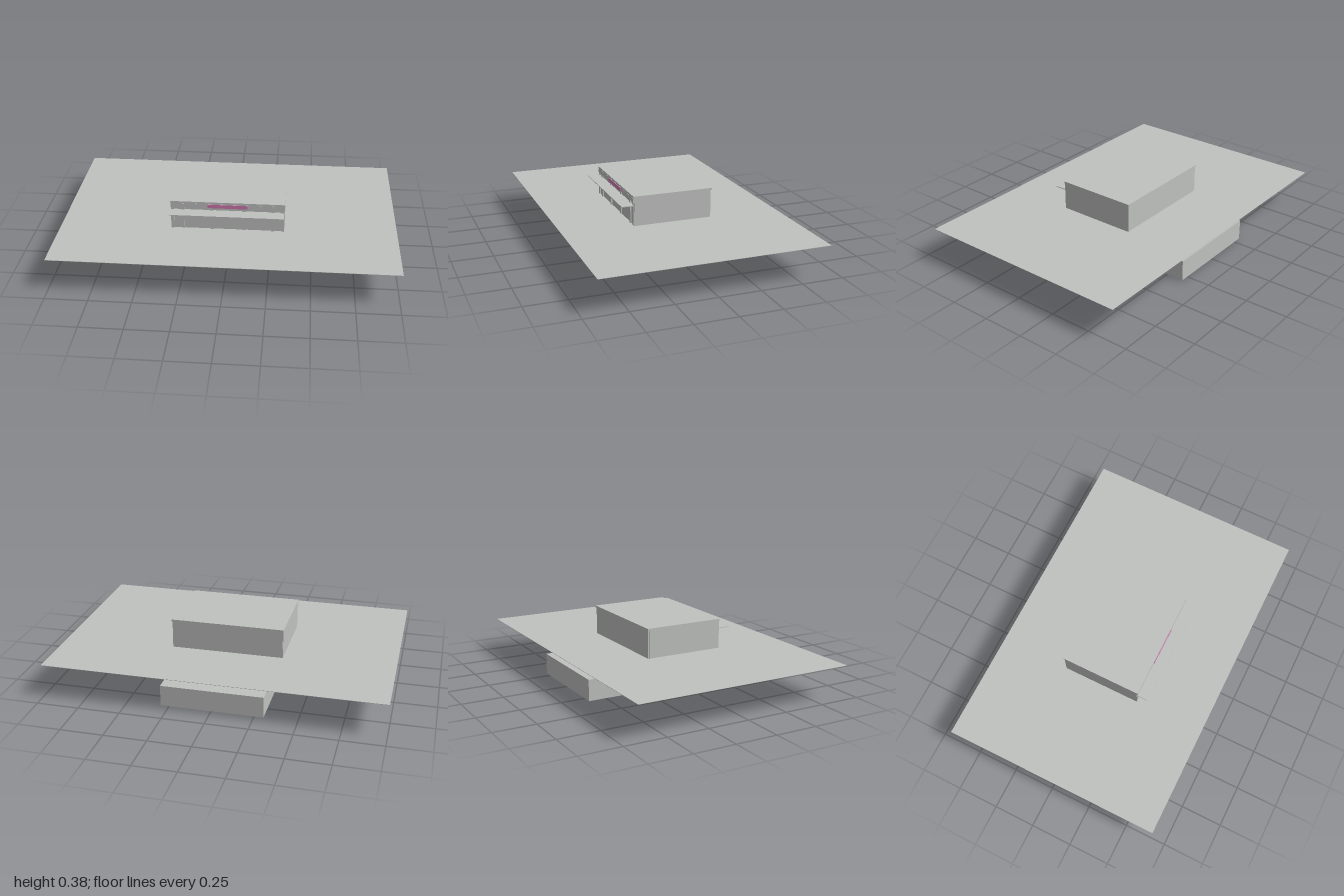
import * as THREE from 'three';

export function createModel() {
  const model = new THREE.Group();
  const concrete = new THREE.MeshStandardMaterial({ color: 0xc0c2c0 });
  concrete.name = 'concrete grey';
  const pink = new THREE.MeshStandardMaterial({ color: 0xd07ab0 });
  pink.name = 'sign pink';

  // box from its minimum and maximum corners
  function box(name, min, max, material = concrete, parent = model) {
    const size = max.map((v, i) => v - min[i]);
    const mesh = new THREE.Mesh(new THREE.BoxGeometry(...size), material);
    mesh.position.set(...max.map((v, i) => (v + min[i]) / 2));
    mesh.name = name;
    parent.add(mesh);
    return mesh;
  }

  const ground = 0.204;

  // wide, thin ground sheet and the cellar beneath it
  box('groundSheet', [-1, ground - 0.002, -0.666], [1, ground, 0.666]);
  box('cellar', [-0.305, 0, -0.605], [0.3, 0.126, -0.195]);

  // shop building
  const shop = new THREE.Group();
  shop.name = 'shop';
  model.add(shop);
  box('walls', [-0.339, ground, -0.234], [0.334, 0.371, 0.235], concrete, shop);
  box('backWall', [-0.337, ground, -0.24], [0.332, 0.371, -0.234], concrete, shop);
  box('roof', [-0.342, 0.371, -0.245], [0.337, 0.383, 0.243], concrete, shop);
  box('fascia', [-0.337, 0.346, 0.235], [0.332, 0.371, 0.244], concrete, shop);
  box('awning', [-0.338, 0.324, 0.235], [0.331, 0.328, 0.313], concrete, shop);
  box('sign', [-0.118, 0.347, 0.244], [0.116, 0.369, 0.247], pink, shop);

  // front posts: four between the bays, two at the corners
  for (const x of [-0.329, -0.267, -0.095, 0.095, 0.265, 0.324]) {
    box('frontPost', [x - 0.009, ground, 0.235], [x + 0.009, 0.346, 0.242], concrete, shop);
  }

  // open stair from the ground down to the cellar roof
  const stairs = new THREE.Group();
  stairs.name = 'stairs';
  model.add(stairs);
  const steps = 8;
  for (let i = 0; i < steps; i++) {
    const y = 0.198 - i * 0.0098;
    const z = -0.253 - i * 0.0122;
    box('step', [0.225, y - 0.003, z - 0.013], [0.275, y, z], concrete, stairs);
  }
  return model;
}
